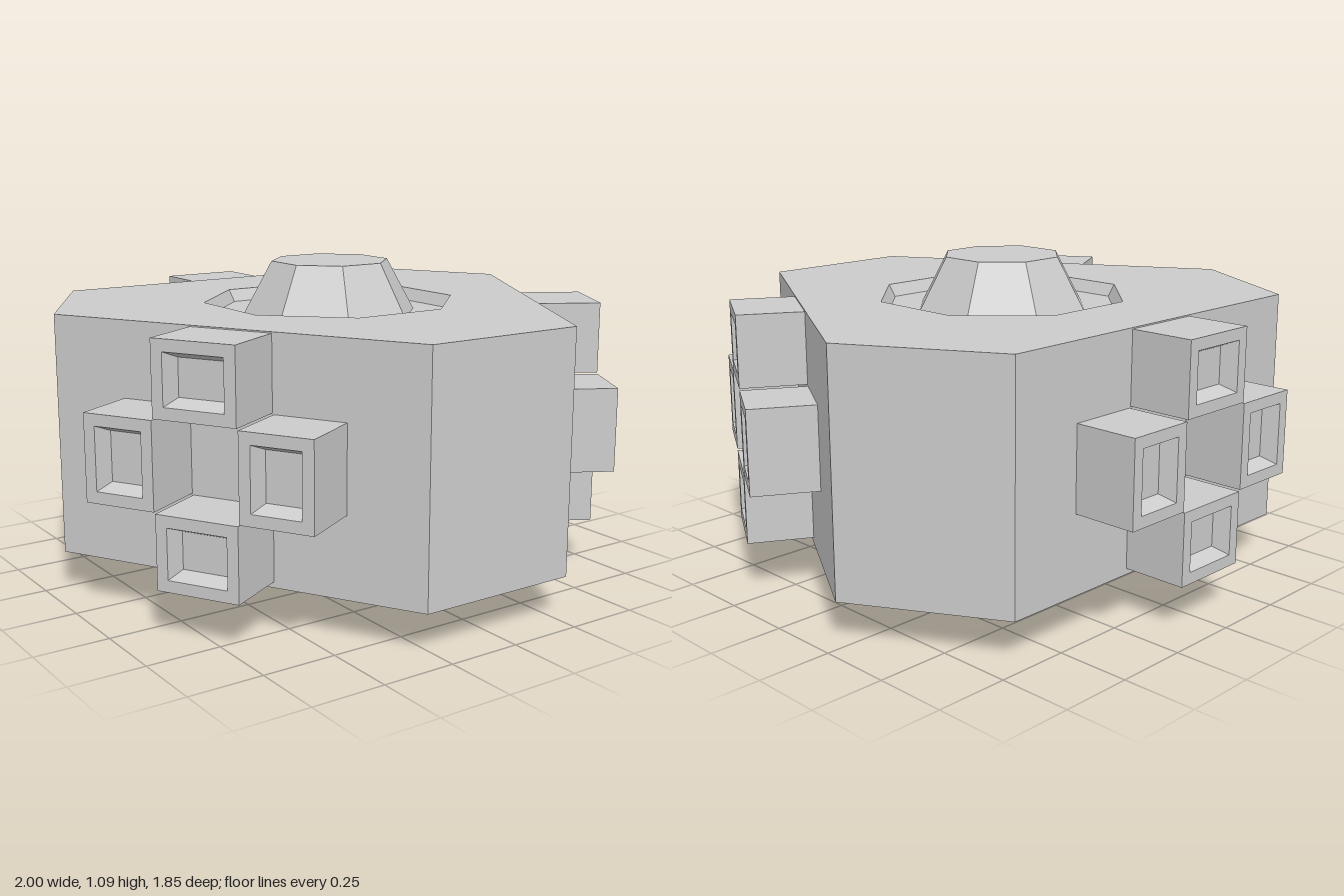
import * as THREE from 'three';

const material = new THREE.MeshStandardMaterial({ color: 0xcccccc, flatShading: true });

// Flat-faced skin through matching counterclockwise rings of [x, y, z], optionally closed at the end
function loft(rings, closeEnd = false) {
  const pos = [];
  const tri = (a, b, c) => pos.push(...a, ...b, ...c);
  const n = rings[0].length;
  for (let r = 0; r < rings.length - 1; r++) {
    for (let i = 0; i < n; i++) {
      const j = (i + 1) % n, lo = rings[r], hi = rings[r + 1];
      tri(lo[i], lo[j], hi[j]);
      tri(lo[i], hi[j], hi[i]);
    }
  }
  if (closeEnd) {
    const end = rings[rings.length - 1];
    for (let i = 1; i < n - 1; i++) tri(end[0], end[i], end[i + 1]);
  }
  const g = new THREE.BufferGeometry();
  g.setAttribute('position', new THREE.Float32BufferAttribute(pos, 3));
  g.computeVertexNormals();
  return g;
}

const rect = (w, h, z) => [[-w, -h, z], [w, -h, z], [w, h, z], [-w, h, z]].map(([x, y]) => [x / 2, y / 2, z]);

// Octagon with flats on the axes, sized by its apothem
const octagon = (apothem, z) => Array.from({ length: 8 }, (_, i) => {
  const a = (i + 0.5) * Math.PI / 4, r = apothem / Math.cos(Math.PI / 8);
  return [r * Math.cos(a), r * Math.sin(a), z];
});

function named(name, geometry) {
  const m = new THREE.Mesh(geometry, material);
  m.name = name;
  return m;
}

// Six-sided body outline: a triangle with its corners cut off (y here is -z of the model)
const outline = [[0.283, -0.922], [0.938, 0.216], [0.656, 0.706], [-0.656, 0.706], [-0.938, 0.216], [-0.283, -0.922]];
const MID = 0.5425, HALF = 0.405;

// Deck with an octagonal recess and a truncated dome rising out of it
function makeCap() {
  const cap = new THREE.Group();
  const shape = new THREE.Shape(outline.map(([x, y]) => new THREE.Vector2(x, y)));
  shape.holes.push(new THREE.Path(octagon(0.408, 0).map(([x, y]) => new THREE.Vector2(x, y)).reverse()));
  const deck = new THREE.ShapeGeometry(shape);
  deck.translate(0, 0, HALF);
  const dome = loft([
    octagon(0.408, HALF), octagon(0.386, HALF - 0.042),
    octagon(0.281, HALF - 0.042), octagon(0.19, MID),
  ], true);
  for (const [name, g] of [['deck', deck], ['recessAndDome', dome]]) {
    g.rotateX(-Math.PI / 2);
    cap.add(named(name, g));
  }
  return cap;
}

// Block standing off the wall with a tapered rectangular socket in its face
function makeBlock(w, h) {
  const rim = 0.078, taper = 0.045;
  return loft([
    rect(w, h, 0.7), rect(w, h, 0.928),
    rect(w - rim, h - rim, 0.928), rect(w - rim - taper, h - rim - taper, 0.875),
  ], true);
}

// Four blocks in a cross
function makeCluster() {
  const cluster = new THREE.Group();
  const step = 0.27;
  for (const s of [-1, 1]) {
    const side = named('sideBlock', makeBlock(0.245, 0.286));
    side.position.x = s * step;
    const upright = named(s > 0 ? 'upperBlock' : 'lowerBlock', makeBlock(0.286, 0.245));
    upright.position.y = s * step;
    cluster.add(side, upright);
  }
  return cluster;
}

export function createModel() {
  const model = new THREE.Group();
  model.name = 'hexagonalModule';

  const wall = loft([-HALF, HALF].map(z => outline.map(([x, y]) => [x, y, z])));
  wall.rotateX(-Math.PI / 2);
  const body = named('bodyWall', wall);
  body.position.y = MID;
  model.add(body);

  // Top cap, and the same turned over for the underside
  for (const [name, turn] of [['topCap', 0], ['bottomCap', Math.PI]]) {
    const cap = makeCap();
    cap.name = name;
    cap.position.y = MID;
    cap.rotation.z = turn;
    model.add(cap);
  }

  // One cluster on each of the three long walls
  for (const [name, turn] of [['leftCluster', 1], ['rightCluster', -1], ['backCluster', 3]]) {
    const cluster = makeCluster();
    cluster.name = name;
    cluster.position.y = MID + 0.008;
    cluster.rotation.y = turn * Math.PI / 3;
    model.add(cluster);
  }
  return model;
}
